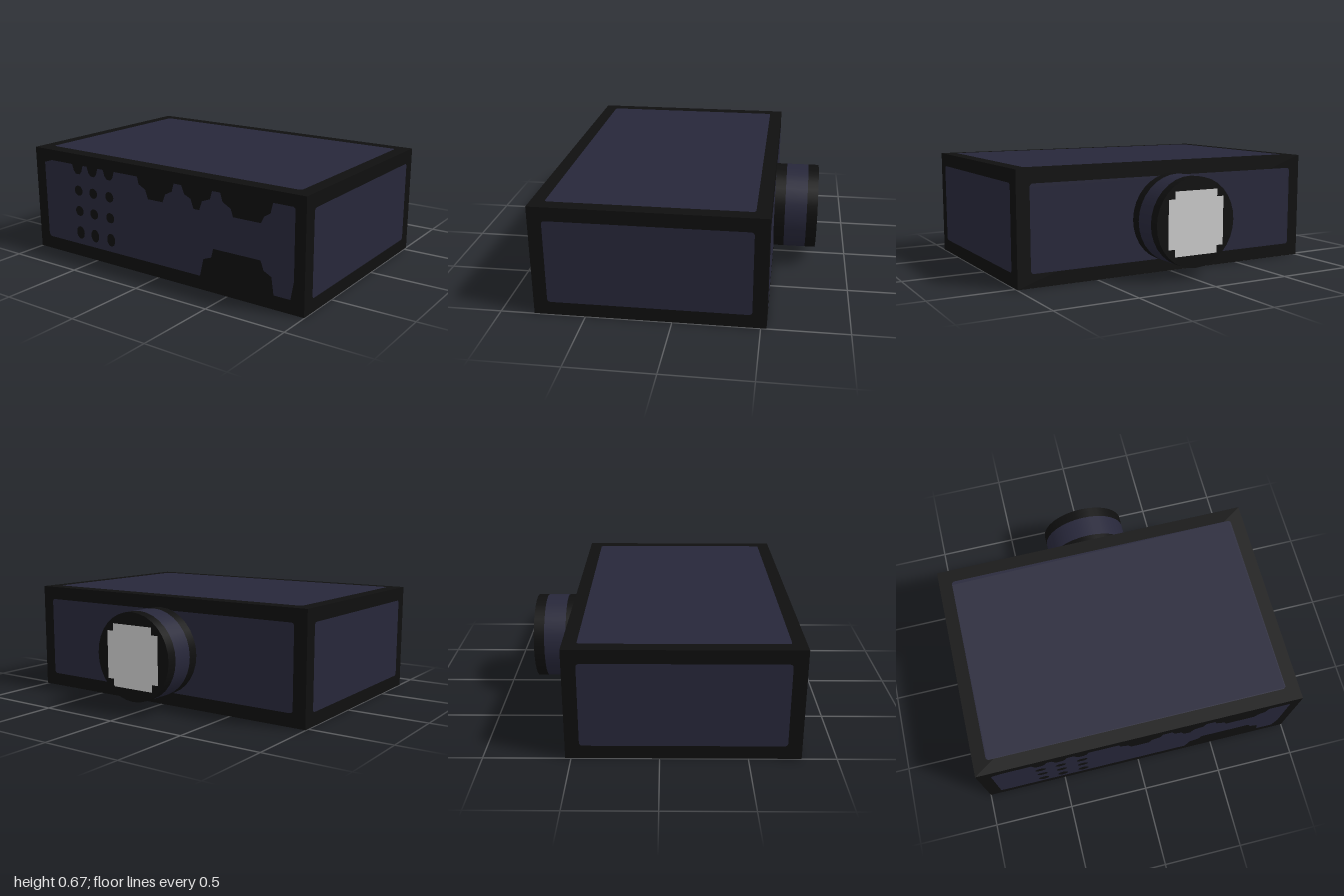
import * as THREE from 'three';

const W = 2, H = 0.667, BACK = -0.533, FRONT = 0.8;
const MIDY = H / 2, MIDZ = (BACK + FRONT) / 2, GAP = 0.002;

const black = new THREE.MeshStandardMaterial({ color: 0x0f0f0f });
black.name = 'black';
const navy = new THREE.MeshStandardMaterial({ color: 0x27273a });
navy.name = 'dark navy';
const pale = new THREE.MeshStandardMaterial({ color: 0xcccccc });
pale.name = 'pale grey';

function part(parent, name, geometry, material) {
  const mesh = new THREE.Mesh(geometry, material);
  mesh.name = name;
  parent.add(mesh);
  return mesh;
}

// Rectangle with small rounded corners, centred on the origin
function panelShape(w, h, r = 0.022) {
  const x = w / 2, y = h / 2, s = new THREE.Shape();
  s.moveTo(-x + r, -y);
  s.lineTo(x - r, -y).quadraticCurveTo(x, -y, x, -y + r);
  s.lineTo(x, y - r).quadraticCurveTo(x, y, x - r, y);
  s.lineTo(-x + r, y).quadraticCurveTo(-x, y, -x, y - r);
  s.lineTo(-x, -y + r).quadraticCurveTo(-x, -y, -x + r, -y);
  return s;
}

// Front panel: ragged upper and lower edges and a grid of round holes
function frontShape() {
  const columns = [-0.63, -0.505, -0.37];
  const pts = [[-0.905, 0.083], [-0.92, 0.098], [-0.92, 0.58], [-0.855, 0.6]];
  for (const x of columns) {
    pts.push([x - 0.045, 0.6], [x - 0.032, 0.56], [x - 0.015, 0.542],
      [x + 0.015, 0.542], [x + 0.032, 0.56], [x + 0.045, 0.6]);
  }
  pts.push(
    [-0.14, 0.6], [-0.13, 0.555], [-0.08, 0.53], [-0.06, 0.475],
    [0.05, 0.475], [0.07, 0.525], [0.12, 0.55], [0.135, 0.6],
    [0.19, 0.6], [0.21, 0.55], [0.255, 0.53], [0.275, 0.475],
    [0.315, 0.475], [0.335, 0.53], [0.39, 0.55], [0.405, 0.6],
    [0.46, 0.6], [0.475, 0.55], [0.53, 0.52], [0.545, 0.475],
    [0.725, 0.475], [0.745, 0.515], [0.785, 0.54], [0.8, 0.6],
    [0.925, 0.6], [0.935, 0.59], [0.935, 0.19], [0.915, 0.083],
    [0.81, 0.083], [0.795, 0.185], [0.745, 0.21], [0.725, 0.265],
    [0.41, 0.265], [0.395, 0.21], [0.34, 0.19], [0.315, 0.083],
  );
  const shape = new THREE.Shape(pts.map(([x, y]) => new THREE.Vector2(x, y)));
  for (const x of columns) {
    for (const [y, ry] of [[0.435, 0.032], [0.302, 0.032], [0.16, 0.041]]) {
      const hole = new THREE.Path();
      hole.absellipse(x, y, 0.033, ry, 0, Math.PI * 2, true);
      shape.holes.push(hole);
    }
  }
  return shape;
}

// Square with stepped corners
function lensShape(h, step) {
  const k = h - step;
  return new THREE.Shape([
    [-k, -h], [k, -h], [k, -k], [h, -k], [h, k], [k, k],
    [k, h], [-k, h], [-k, k], [-h, k], [-h, -k], [-k, -k],
  ].map(([x, y]) => new THREE.Vector2(x, y)));
}

export function createModel() {
  const model = new THREE.Group();
  model.name = 'box with round knob';

  const body = part(model, 'body', new THREE.BoxGeometry(W, H, FRONT - BACK), black);
  body.position.set(0, MIDY, MIDZ);

  // Painted panels on the faces
  const longPanel = new THREE.ShapeGeometry(panelShape(1.84, 0.505));
  const sidePanel = new THREE.ShapeGeometry(panelShape(1.17, 0.505));
  const widePanel = new THREE.ShapeGeometry(panelShape(1.84, 1.17));

  part(model, 'frontPanel', new THREE.ShapeGeometry(frontShape(), 16), navy)
    .position.z = FRONT + GAP;

  const back = part(model, 'backPanel', longPanel, navy);
  back.position.set(0, MIDY, BACK - GAP);
  back.rotation.y = Math.PI;

  for (const s of [1, -1]) {
    const side = part(model, s > 0 ? 'leftPanel' : 'rightPanel', sidePanel, navy);
    side.position.set(s * (W / 2 + GAP), MIDY, MIDZ);
    side.rotation.y = s * Math.PI / 2;

    const flat = part(model, s > 0 ? 'topPanel' : 'bottomPanel', widePanel, navy);
    flat.position.set(0, s > 0 ? H + GAP : -GAP, MIDZ);
    flat.rotation.x = -s * Math.PI / 2;
  }

  // Round knob on the back, in three bands
  const knob = new THREE.Group();
  knob.name = 'knob';
  knob.position.y = MIDY;
  model.add(knob);
  for (const [name, z0, z1, material] of [
    ['knobBase', BACK, -0.6, black],
    ['knobBand', -0.6, -0.735, navy],
    ['knobRim', -0.735, -0.8, black],
  ]) {
    const geometry = new THREE.CylinderGeometry(0.267, 0.267, z0 - z1, 32);
    geometry.rotateX(Math.PI / 2);
    part(knob, name, geometry, material).position.z = (z0 + z1) / 2;
  }
  const lens = part(knob, 'knobFace', new THREE.ShapeGeometry(lensShape(0.19, 0.045)), pale);
  lens.position.z = -0.8 - GAP;
  lens.rotation.y = Math.PI;

  return model;
}
